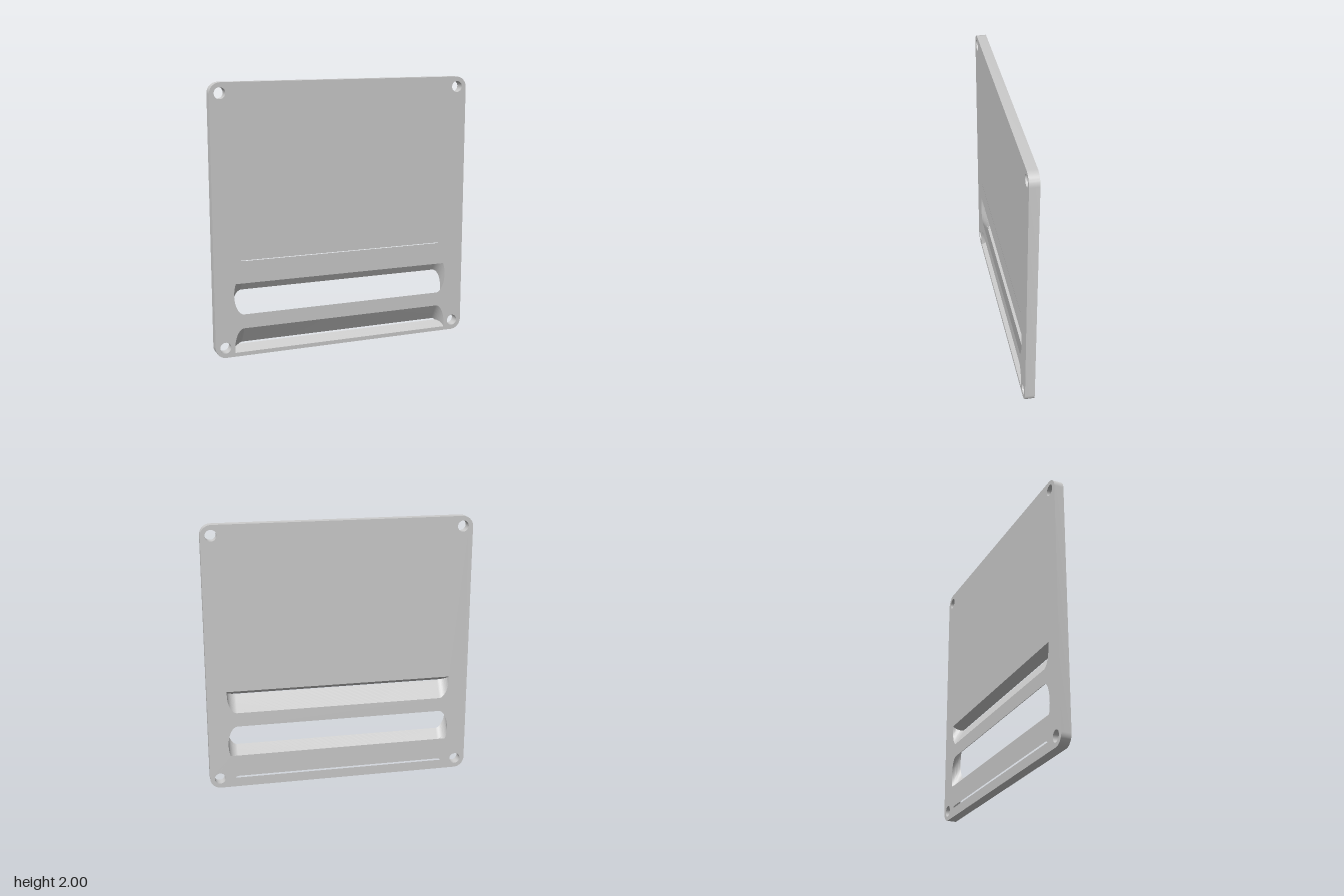
import * as THREE from 'three';
import { toCreasedNormals } from 'three/addons/utils/BufferGeometryUtils.js';

const H = 0.036;                       // half of the plate thickness
const STEEP = Math.sqrt(3);            // slope of the slot direction (60 degrees)
const SHALLOW = 1 / STEEP;             // slope of the square slot ends
const SLOT_R = 0.0735, SLOT_X = 0.78;  // slot end radius and its centre

const clamp1 = (v) => Math.max(-1, Math.min(1, v));

// Counter-clockwise arc points
function arc(cx, cy, r, from, to, n) {
  return Array.from({ length: n + 1 }, (_, i) => {
    const a = from + ((to - from) * i) / n;
    return new THREE.Vector2(cx + r * Math.cos(a), cy + r * Math.sin(a));
  });
}

// Outline of a leaning slot at depth z: a stadium cut off by its end planes
function slotSection({ y, lo, hi }, z) {
  const cy = y + STEEP * z, ry = 2 * SLOT_R, n = 24;
  const a0 = Math.asin(clamp1((lo - SHALLOW * z - cy) / ry));
  const a1 = Math.asin(clamp1((hi - SHALLOW * z - cy) / ry));
  const right = Array.from({ length: n + 1 }, (_, i) => {
    const a = a0 + ((a1 - a0) * i) / n;
    return new THREE.Vector2(SLOT_X + SLOT_R * Math.cos(a), cy + ry * Math.sin(a));
  });
  const left = right.map((p) => new THREE.Vector2(-p.x, p.y)).reverse();
  return [...right, ...left];
}

// Depths at which to slice a slot, with exact rows where an end plane starts to cut
function slotDepths({ y, lo, hi }) {
  const zs = Array.from({ length: 33 }, (_, i) => -H + (2 * H * i) / 32);
  for (const end of [lo, hi]) for (const s of [-1, 1]) {
    const z = (end - y - s * 2 * SLOT_R) / (STEEP + SHALLOW);
    if (Math.abs(z) < H) zs.push(z);
  }
  return zs.sort((a, b) => a - b);
}

// Wall through the outlines at the given depths; inward for openings
function wall(outlineAt, zs, inward) {
  const pos = [];
  for (let k = 0; k < zs.length - 1; k++) {
    const back = outlineAt(zs[k]), front = outlineAt(zs[k + 1]);
    back.forEach((a0, i) => {
      const j = (i + 1) % back.length;
      const A = [a0.x, a0.y, zs[k]], B = [back[j].x, back[j].y, zs[k]];
      const C = [front[j].x, front[j].y, zs[k + 1]], D = [front[i].x, front[i].y, zs[k + 1]];
      pos.push(...(inward ? [A, C, B, A, D, C] : [A, B, C, A, C, D]).flat());
    });
  }
  const g = new THREE.BufferGeometry();
  g.setAttribute('position', new THREE.Float32BufferAttribute(pos, 3));
  return toCreasedNormals(g, 0.6);
}

export function createModel() {
  const group = new THREE.Group();
  group.name = 'slottedPlate';
  const material = new THREE.MeshStandardMaterial({ color: 0xcccccc });
  const add = (name, geometry) => {
    const mesh = new THREE.Mesh(geometry, material);
    mesh.name = name;
    group.add(mesh);
  };

  // Rounded square outline
  const R = 0.08, q = Math.PI / 2;
  const rim = [[1, 2], [-1, 2], [-1, 0], [1, 0]].flatMap(([x, y], i) =>
    arc(x * (1 - R), y ? y - R : R, R, i * q, (i + 1) * q, 12));

  // Corner screw holes
  const holes = [[1, 1], [-1, 1], [-1, -1], [1, -1]].map(([x, y]) =>
    arc(x * 0.925, 1 + y * 0.925, 0.0415, 0, 2 * Math.PI, 32).slice(0, -1));

  // Three parallel leaning slots: axis height and end planes at mid depth
  const slots = [
    { name: 'lowerSlot', y: 0, lo: 0.0503, hi: 9 },
    { name: 'middleSlot', y: 0.4, lo: 0.23, hi: 0.57 },
    { name: 'upperSlot', y: 0.8, lo: -9, hi: 0.741 },
  ];

  // Front and back faces
  for (const side of [1, -1]) {
    const shape = new THREE.Shape(rim);
    const openings = [...holes, ...slots.map((s) => slotSection(s, side * H))];
    shape.holes = openings.map((pts) => new THREE.Path(pts));
    const face = new THREE.ShapeGeometry(shape);
    face.translate(0, 0, H);
    if (side < 0) face.rotateY(Math.PI);
    add(side > 0 ? 'frontFace' : 'backFace', face);
  }

  // Outer edge and the walls of all openings
  add('outerEdge', wall(() => rim, [-H, H], false));
  holes.forEach((pts) => add('screwHole', wall(() => pts, [-H, H], true)));
  slots.forEach((s) => add(s.name, wall((z) => slotSection(s, z), slotDepths(s), true)));

  return group;
}
